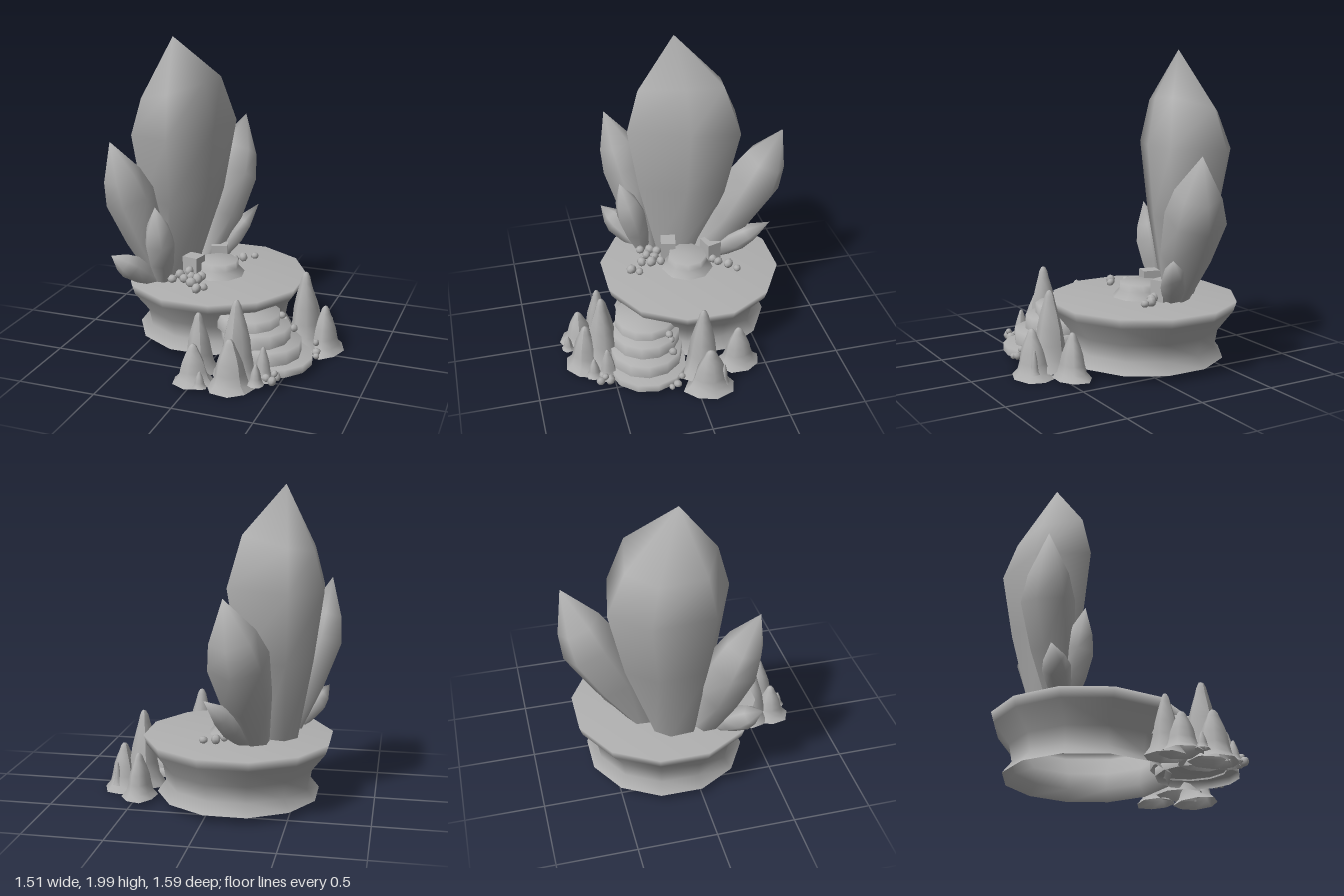
import * as THREE from 'three';

const V = (x, y, z) => new THREE.Vector3(x, y, z);

// Smooth skin over closed rings of points, ending in a tip
function loft(rings, tip) {
  const n = rings[0].length, pos = [], idx = [];
  rings.flat().concat(tip).forEach(p => pos.push(p.x, p.y, p.z));
  for (let j = 0; j < rings.length; j++) {
    for (let i = 0; i < n; i++) {
      const a = j * n + i, b = j * n + (i + 1) % n;
      if (j === rings.length - 1) idx.push(a, rings.length * n, b);
      else idx.push(a, a + n, b, b, a + n, b + n);
    }
  }
  const g = new THREE.BufferGeometry();
  g.setAttribute('position', new THREE.Float32BufferAttribute(pos, 3));
  g.setIndex(idx);
  g.computeVertexNormals();
  return g;
}

// Six-sided leaning crystal that bulges at mid and closes at tip
function crystal(base, mid, tip, r, turn) {
  const q = new THREE.Quaternion().setFromUnitVectors(V(0, 1, 0), tip.clone().sub(base).normalize());
  const ring = (c, s) => Array.from({ length: 6 }, (_, i) => {
    const a = turn + i * Math.PI / 3;
    return V(Math.cos(a) * s, 0, Math.sin(a) * s).applyQuaternion(q).add(c);
  });
  return loft([
    ring(base, r * 0.42),
    ring(base.clone().lerp(mid, 0.55), r * 0.83),
    ring(mid, r),
    ring(mid.clone().lerp(tip, 0.4), r * 0.76),
  ], tip);
}

// Turned shape from [radius, height] pairs
function turned(profile, sides, phase = 0) {
  return new THREE.LatheGeometry(profile.map(p => new THREE.Vector2(p[0], p[1])), sides, phase);
}

export function createModel() {
  const model = new THREE.Group();
  const stone = new THREE.MeshStandardMaterial({ color: 0xb0b0b0, side: THREE.DoubleSide });
  stone.name = 'grey stone';
  const add = (name, geo, x = 0, y = 0, z = 0) => {
    const m = new THREE.Mesh(geo, stone);
    m.name = name;
    m.position.set(x, y, z);
    model.add(m);
    return m;
  };

  // Round platform: waisted wall running smoothly into the top, open below
  add('platform', turned([
    [0.52, 0.06], [0.465, 0.13], [0.485, 0.24], [0.585, 0.37], [0.605, 0.432], [0, 0.432],
  ], 12, Math.PI / 12), -0.14, 0, -0.135);

  // Stump with two blocks behind it
  add('stump', turned([[0.175, 0.434], [0.135, 0.48], [0.13, 0.525], [0, 0.525]], 9), -0.12, 0, -0.12);
  [[-0.26, -0.02], [-0.18, -0.3]].forEach(([x, z], i) => {
    const block = add('block', new THREE.BoxGeometry(0.11, 0.136, 0.1), x, 0.502, z);
    block.rotation.y = i ? 0.3 : -0.2;
  });

  // Great crystal: centre x, height, centre z, scale and tilt of each ring
  const outline = [[-0.09, -0.39], [0.28, -0.32], [0.24, 0], [0.06, 0.38], [-0.25, 0.22], [-0.28, -0.17]];
  const rings = [
    [-0.41, 0.42, -0.11, 0.38, 0], [-0.4, 0.95, -0.14, 0.78, 0],
    [-0.4, 1.39, -0.15, 1, 0.06], [-0.405, 1.66, -0.135, 0.75, 0.25],
  ].map(([x, y, z, s, tilt]) => outline.map(([px, pz]) => V(x + px * s, y + px * s * tilt, z + pz * s)));
  add('greatCrystal', loft(rings, V(-0.42, 2, -0.1)));

  // Lesser crystals fanning out around it
  [
    ['backCrystal', V(-0.28, 0.4, -0.28), V(-0.215, 1.0, -0.605), V(-0.15, 1.39, -0.76), 0.19, 0.66],
    ['frontCrystal', V(-0.44, 0.4, 0.06), V(-0.61, 1.0, 0.195), V(-0.68, 1.385, 0.32), 0.162, 0.4],
    ['smallFrontCrystal', V(-0.42, 0.4, 0.12), V(-0.405, 0.72, 0.205), V(-0.4, 0.975, 0.28), 0.105, 0],
    ['tinyFrontCrystal', V(-0.45, 0.4, 0.12), V(-0.58, 0.55, 0.27), V(-0.67, 0.65, 0.37), 0.085, 0.4],
    ['smallBackCrystal', V(-0.25, 0.41, -0.3), V(-0.15, 0.58, -0.47), V(-0.02, 0.77, -0.66), 0.085, 0.2],
  ].forEach(([name, b, m, t, r, a]) => add(name, crystal(b, m, t, r, a)));

  // Curved steps descending from the platform: x, z, radius, height
  [[0.22, 0.25, 0.2, 0.35], [0.27, 0.26, 0.22, 0.28], [0.33, 0.27, 0.235, 0.19], [0.385, 0.275, 0.255, 0.1]].forEach(([x, z, r, h], i) => {
    add('step' + (i + 1), turned([[r, Math.max(0.05, h - 0.1)], [r, h], [0, h + 0.005]], 12, i * 0.2), x, 0, z);
  });

  // Pointed rocks: x, z, peak height, base radius in x and in z, base height
  const spire = [[1, 0], [0.73, 0.13], [0.62, 0.31], [0.53, 0.52], [0.39, 0.7], [0.25, 0.85], [0.19, 0.93], [0.1, 0.985], [0, 1]];
  [
    [0.24, 0.54, 0.54, 0.155, 0.15, 0.04], [-0.01, 0.53, 0.42, 0.125, 0.12, 0.04],
    [0.235, 0.65, 0.33, 0.15, 0.14, 0.02], [0.005, 0.665, 0.27, 0.13, 0.13, 0.03],
    [0.08, 0.75, 0.14, 0.045, 0.045, 0.04], [0.41, 0.54, 0.26, 0.075, 0.075, 0.05],
    [0.39, 0.625, 0.18, 0.055, 0.055, 0.05], [0.5, -0.07, 0.535, 0.145, 0.15, 0.04],
    [0.63, -0.085, 0.31, 0.125, 0.17, 0.01], [0.655, -0.17, 0.2, 0.035, 0.035, 0.05],
    [0.47, -0.315, 0.32, 0.115, 0.145, 0.04],
  ].forEach(([x, z, h, rx, rz, y0], i) => {
    const g = turned(spire.map(([a, b]) => [a, y0 + b * (h - y0)]), 8, i * 0.5);
    const p = g.attributes.position;
    // Uneven sides
    for (let k = 0; k < p.count; k++) {
      const a = Math.atan2(p.getX(k), p.getZ(k));
      const f = 1 + 0.06 * Math.sin(3 * a + i + p.getY(k) * 9);
      p.setX(k, p.getX(k) * f * rx);
      p.setZ(k, p.getZ(k) * f * rz);
    }
    g.computeVertexNormals();
    add('pointedRock', g, x, 0, z);
  });

  // Pebbles on the platform and beside the steps: x, y, z, size
  [
    [-0.18, 0.46, 0.05, 0.034], [-0.18, 0.465, 0.115, 0.038], [-0.24, 0.46, 0.08, 0.034], [-0.2, 0.46, 0.18, 0.036],
    [-0.13, 0.46, 0.265, 0.036], [-0.1, 0.455, 0.215, 0.028], [-0.27, 0.46, 0.13, 0.033], [-0.26, 0.49, 0.06, 0.033],
    [-0.34, 0.46, 0.16, 0.033], [-0.31, 0.475, 0.1, 0.034],
    [-0.04, 0.46, -0.39, 0.035], [0.03, 0.465, -0.43, 0.028], [-0.08, 0.46, -0.33, 0.032], [-0.12, 0.46, -0.3, 0.034],
    [0.4, 0.3, 0.13, 0.028], [0.48, 0.22, 0.125, 0.028], [0.42, 0.27, 0.12, 0.024],
    [0.63, 0.08, 0.13, 0.03], [0.62, 0.13, 0.1, 0.024], [0.64, 0.07, 0.17, 0.022],
    [0.49, 0.08, 0.54, 0.034], [0.485, 0.075, 0.6, 0.032], [0.44, 0.08, 0.58, 0.028], [0.49, 0.11, 0.57, 0.024],
  ].forEach(([x, y, z, s], i) => {
    const pebble = add('pebble', new THREE.SphereGeometry(s, 7, 5), x, y, z);
    pebble.scale.set(1, 0.9, 0.85);
    pebble.rotation.set(i, i * 2, 0);
  });

  return model;
}
